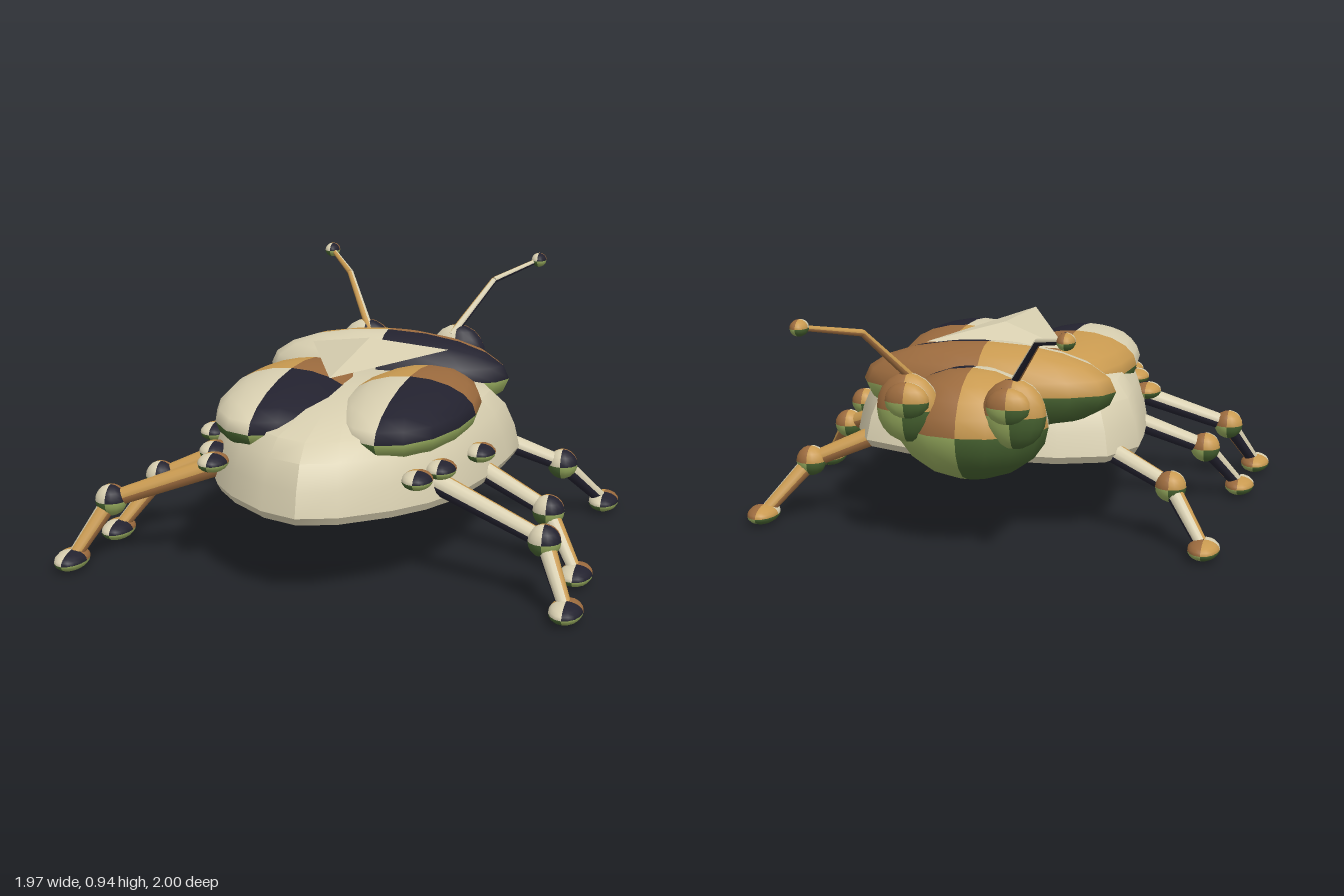
import * as THREE from 'three';
import { mergeGeometries, toCreasedNormals } from 'three/addons/utils/BufferGeometryUtils.js';

const mat = (name, color) => {
  const m = new THREE.MeshStandardMaterial({ color });
  m.name = name;
  return m;
};
const cream = mat('cream', 0xd8cfb0);
const navy = mat('navy', 0x23222f);
const tan = mat('tan', 0xc99a50);
const brown = mat('brown', 0x9c6b3e);
const leaf = mat('light green', 0x94a85c);
const moss = mat('dark green', 0x45602f);
const Q = Math.PI / 2;

// Unit ball in eight octants, upper ring then lower ring
const ballGeometry = (() => {
  const parts = [];
  for (let half = 0; half < 2; half++)
    for (let i = 0; i < 4; i++) parts.push(new THREE.SphereGeometry(1, 4, 5, i * Q, Q, half * Q, Q));
  return mergeGeometries(parts, true);
})();
const ballMaterials = [cream, navy, brown, tan, moss, leaf, leaf, moss];

// Tube lengthwise divided into four coloured quarters
const rodMaterials = [navy, brown, tan, cream];
function rodGeometry(rTop, rBottom, length) {
  const parts = [];
  for (let i = 0; i < 4; i++) parts.push(new THREE.CylinderGeometry(rTop, rBottom, length, 3, 1, false, i * Q, Q));
  return mergeGeometries(parts, true);
}

function add(parent, name, geometry, material) {
  const mesh = new THREE.Mesh(geometry, material);
  mesh.name = name;
  parent.add(mesh);
  return mesh;
}

function ball(parent, name, position, radii) {
  const mesh = add(parent, name, ballGeometry, ballMaterials);
  mesh.position.set(...position);
  mesh.scale.set(...radii);
}

// Rod from a to b: tilted, then turned about the vertical
function rod(parent, name, a, b, rA, rB) {
  const p = new THREE.Vector3(...a), q = new THREE.Vector3(...b);
  const d = q.clone().sub(p);
  const mesh = add(parent, name, rodGeometry(rB, rA, d.length()), rodMaterials);
  mesh.position.copy(p).add(q).multiplyScalar(0.5);
  mesh.rotation.order = 'YZX';
  mesh.rotation.set(0, Math.atan2(-d.z, d.x), -Math.acos(d.y / d.length()));
}

// Shell lofted from one outline, shrinking towards the back of the beetle
function bodyGeometry() {
  const half = [[0, -0.33], [0.3, -0.32], [0.48, -0.25], [0.57, -0.08], [0.56, 0.1], [0.53, 0.35],
    [0.48, 0.55], [0.4, 0.7], [0.3, 0.82], [0.14, 0.95], [0, 1]];
  const outline = [...half, ...half.slice(1, -1).reverse().map(([x, z]) => [-x, z])];
  const rings = [[0.3, 0], [0.3, 0.97], [0.33, 1], [0.42, 0.97], [0.51, 0.91], [0.57, 0.82], [0.62, 0.5], [0.64, 0]];
  const n = outline.length, cz = 0.33, pos = [], index = [];
  for (const [y, s] of rings)
    for (const [x, z] of outline) pos.push(x * s, y, cz + (z - cz) * s);
  for (let r = 0; r < rings.length - 1; r++)
    for (let i = 0; i < n; i++) {
      const a = r * n + i, b = r * n + (i + 1) % n;
      if (r > 0) index.push(a, a + n, b);
      if (r < rings.length - 2) index.push(b, a + n, b + n);
    }
  const g = new THREE.BufferGeometry();
  g.setAttribute('position', new THREE.Float32BufferAttribute(pos, 3));
  g.setIndex(index);
  return toCreasedNormals(g, 0.6);
}

// Shallow three-sided shield between the wing cases
function shieldGeometry() {
  const l = [-0.28, 0.7, -0.08], r = [0.28, 0.7, -0.08], tip = [0, 0.73, 0.59], top = [0, 0.765, 0.07];
  const g = new THREE.BufferGeometry();
  g.setAttribute('position', new THREE.Float32BufferAttribute(
    [l, tip, top, tip, r, top, r, l, top, l, r, tip].flat(), 3));
  g.computeVertexNormals();
  return g;
}

export function createModel() {
  const model = new THREE.Group();
  model.name = 'beetle';

  add(model, 'body', bodyGeometry(), cream);
  add(model, 'shield', shieldGeometry(), cream);
  ball(model, 'neckPlate', [0, 0.57, -0.2], [0.5, 0.17, 0.2]);
  ball(model, 'head', [0, 0.475, -0.42], [0.29, 0.21, 0.25]);

  // hip, knee and foot of each leg on the +x side
  const legs = {
    frontLeg: [[0.4, 0.36, -0.14], [0.72, 0.225, -0.23], [0.87, 0.037, -0.375]],
    middleLeg: [[0.42, 0.37, 0.26], [0.77, 0.225, 0.36], [0.9, 0.037, 0.49]],
    rearLeg: [[0.36, 0.4, 0.61], [0.82, 0.235, 0.715], [0.925, 0.037, 0.85]],
  };
  const spots = [[0.52, 0.44, 0.4], [0.43, 0.44, 0.64], [0.38, 0.44, 0.785]];

  for (const s of [1, -1]) {
    const side = s > 0 ? 'left' : 'right';
    const at = ([x, y, z]) => [s * x, y, z];

    ball(model, side + 'WingCase', at([0.232, 0.56, 0.33]), [0.252, 0.13, 0.49]);
    ball(model, side + 'Eye', at([0.2, 0.56, -0.585]), [0.12, 0.13, 0.075]);
    ball(model, side + 'Pupil', at([0.19, 0.595, -0.63]), [0.085, 0.07, 0.05]);

    // Antenna
    const antenna = new THREE.Group();
    antenna.name = side + 'Antenna';
    model.add(antenna);
    const elbow = at([0.32, 0.86, -0.73]), end = at([0.47, 0.915, -0.955]);
    rod(antenna, 'antennaBase', at([0.18, 0.65, -0.55]), elbow, 0.017, 0.013);
    rod(antenna, 'antennaEnd', elbow, end, 0.013, 0.01);
    ball(antenna, 'antennaTip', end, [0.032, 0.03, 0.045]);

    // Legs
    for (const [name, points] of Object.entries(legs)) {
      const leg = new THREE.Group();
      leg.name = side + name[0].toUpperCase() + name.slice(1);
      model.add(leg);
      const [hip, knee, foot] = points.map(at);
      rod(leg, 'upperLeg', hip, knee, 0.042, 0.032);
      rod(leg, 'lowerLeg', knee, foot, 0.034, 0.025);
      ball(leg, 'knee', knee, [0.06, 0.06, 0.06]);
      ball(leg, 'foot', foot, [0.06, 0.037, 0.095]);
    }

    // Breathing holes along the flank
    for (const p of spots) ball(model, side + 'Spiracle', at(p), [0.055, 0.034, 0.072]);
  }
  return model;
}
